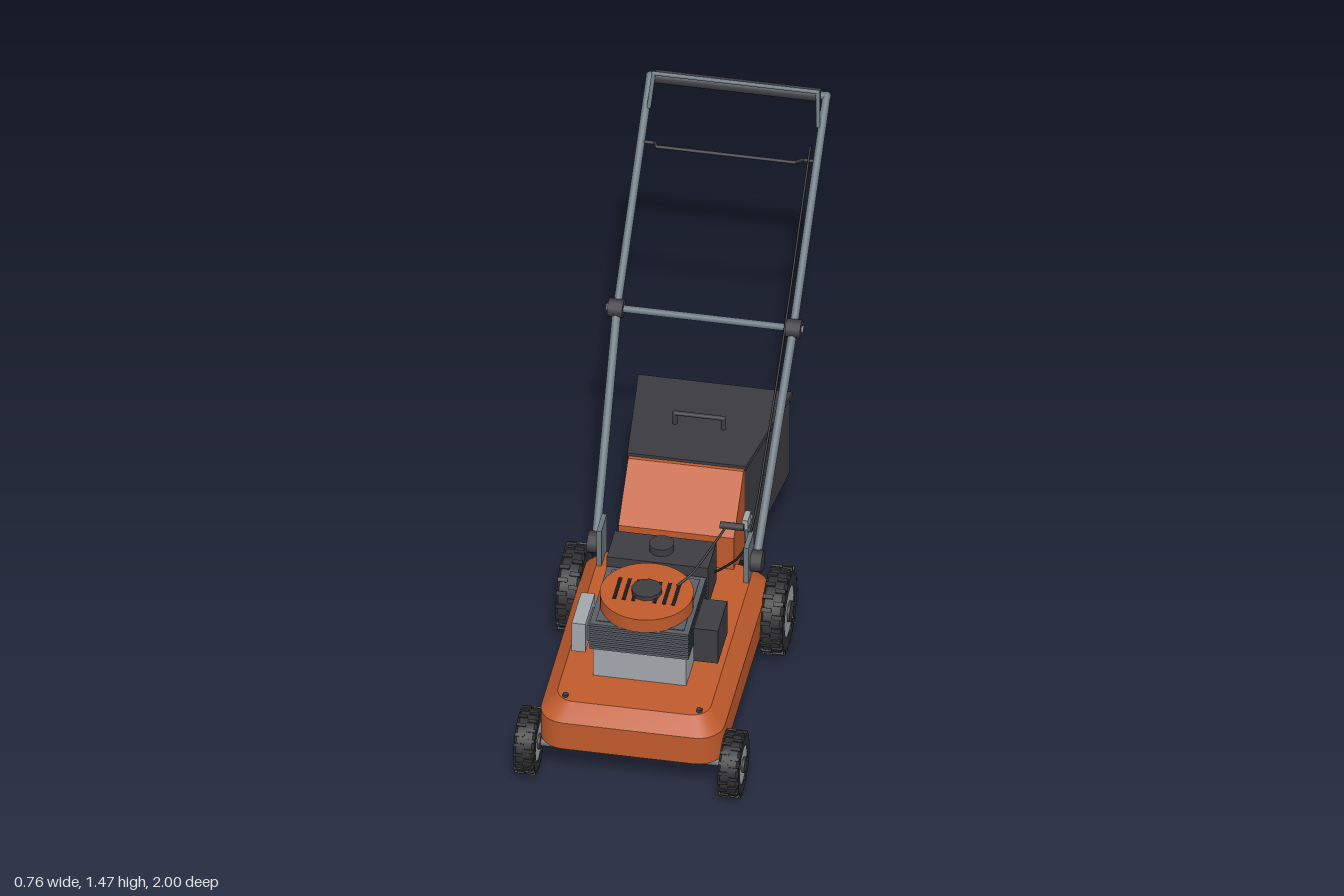
import * as THREE from 'three';
import { toCreasedNormals } from 'three/addons/utils/BufferGeometryUtils.js';

const V = (x, y, z) => new THREE.Vector3(x, y, z);
const mat = (name, color) => {
  const m = new THREE.MeshStandardMaterial({ color });
  m.name = name;
  return m;
};

export function createModel() {
  const orange = mat('orange paint', 0xbf5a2c);
  const dark = mat('dark plastic', 0x3d3c41);
  const rubber = mat('tyre rubber', 0x2f2f31);
  const steel = mat('tube steel', 0x6b7780);
  const silver = mat('cast silver', 0xa2a7ab);
  const finGrey = mat('fin grey', 0x5a6067);
  const black = mat('black', 0x1c1c1e);

  const model = new THREE.Group();
  model.name = 'lawnMower';

  const add = (name, geo, m, x = 0, y = 0, z = 0, parent = model) => {
    const mesh = new THREE.Mesh(geo, m);
    mesh.name = name;
    mesh.position.set(x, y, z);
    parent.add(mesh);
    return mesh;
  };
  // box given by its extents
  const box = (name, m, x0, x1, y0, y1, z0, z1) =>
    add(name, new THREE.BoxGeometry(x1 - x0, y1 - y0, z1 - z0), m, (x0 + x1) / 2, (y0 + y1) / 2, (z0 + z1) / 2);
  // cylinder between two points
  const rod = (name, m, a, b, r, seg = 16) => {
    const d = b.clone().sub(a);
    const mesh = add(name, new THREE.CylinderGeometry(r, r, d.length(), seg), m);
    mesh.position.copy(a).add(b).multiplyScalar(0.5);
    mesh.quaternion.setFromUnitVectors(V(0, 1, 0), d.normalize());
    return mesh;
  };
  const cable = (name, m, pts, r) =>
    add(name, new THREE.TubeGeometry(new THREE.CatmullRomCurve3(pts), 32, r, 8), m);
  // straight bar bent through points, with ball joints
  const bentBar = (name, m, pts, r) => {
    pts.forEach((p, i) => {
      if (i) rod(name, m, pts[i - 1], p, r, 10);
      add(name + 'Bend', new THREE.SphereGeometry(r, 10, 8), m, p.x, p.y, p.z);
    });
  };

  // ---- Deck: hollow shell lofted through rounded rectangles [inset, y] ----
  const ring = (inset, y) => {
    const pts = [], cz = 0.4875, hw = 0.302 - inset, hl = 0.4575 - inset;
    const r = Math.max(0.085 - inset * 0.5, 0.03), n = 6;
    [[1, 1], [-1, 1], [-1, -1], [1, -1]].forEach(([sx, sz], q) => {
      for (let i = 0; i <= n; i++) {
        const a = (q + i / n) * Math.PI / 2;
        pts.push([sx * (hw - r) + r * Math.cos(a), y, cz + sz * (hl - r) + r * Math.sin(a)]);
      }
    });
    return pts;
  };
  const rings = [[0.08, 0.27], [0.035, 0.235], [0.03, 0.135], [0, 0.135], [0, 0.24], [0.05, 0.294]].map(p => ring(...p));
  const N = rings[0].length, pos = [], idx = [];
  rings.forEach(rg => rg.forEach(p => pos.push(...p)));
  for (let k = 0; k < rings.length - 1; k++) {
    for (let i = 0; i < N; i++) {
      const a = k * N + i, b = k * N + (i + 1) % N;
      idx.push(a, a + N, b, b, a + N, b + N);
    }
  }
  const last = (rings.length - 1) * N;
  for (let i = 1; i < N - 1; i++) {
    idx.push(0, i, i + 1);
    idx.push(last, last + i + 1, last + i);
  }
  const deckGeo = new THREE.BufferGeometry();
  deckGeo.setAttribute('position', new THREE.Float32BufferAttribute(pos, 3));
  deckGeo.setIndex(idx);
  add('deck', toCreasedNormals(deckGeo, 0.5), orange);
  for (const s of [-1, 1]) add('deckBolt', new THREE.CylinderGeometry(0.01, 0.01, 0.014, 6), dark, s * 0.22, 0.296, 0.87);

  // ---- Blade and shaft ----
  rod('bladeShaft', silver, V(0, 0.15, 0.49), V(0, 0.28, 0.49), 0.02);
  rod('bladeBolt', silver, V(0, 0.14, 0.49), V(0, 0.155, 0.49), 0.03, 6);
  box('blade', finGrey, -0.25, 0.25, 0.155, 0.163, 0.462, 0.518);

  // ---- Wheels and axles ----
  const wheel = (name, s, y, z, r, w) => {
    const g = new THREE.Group();
    g.name = name;
    g.position.set(s * 0.336, y, z);
    g.rotation.z = -s * Math.PI / 2;
    model.add(g);
    const h = w / 2, hub = r * 0.6;
    const profile = [[hub, -h], [r * 0.88, -h], [r * 0.965, -h * 0.75], [r * 0.965, h * 0.75], [r * 0.88, h], [hub, h]]
      .map(p => new THREE.Vector2(...p));
    add('tyre', toCreasedNormals(new THREE.LatheGeometry(profile, 40), 0.5), rubber, 0, 0, 0, g);
    add('hub', new THREE.CylinderGeometry(hub, hub, w * 0.92, 32), silver, 0, 0, 0, g);
    add('hubCap', new THREE.CylinderGeometry(r * 0.24, r * 0.24, w + 0.012, 20), dark, 0, 0, 0, g);
    // staggered tread lugs
    for (let i = 0; i < 40; i++) {
      const a = i / 40 * Math.PI * 2, R = r * 0.95;
      const lug = add('treadLug', new THREE.BoxGeometry(r * 0.1, h * 0.9, r * 0.1), rubber,
        Math.cos(a) * R, (i % 2 ? 1 : -1) * h * 0.5, Math.sin(a) * R, g);
      lug.rotation.y = -a;
    }
  };
  for (const s of [-1, 1]) {
    wheel('frontWheel', s, 0.113, 0.89, 0.111, 0.068);
    wheel('rearWheel', s, 0.148, 0.107, 0.145, 0.074);
  }
  rod('frontAxle', steel, V(-0.33, 0.113, 0.89), V(0.33, 0.113, 0.89), 0.014);
  rod('rearAxle', steel, V(-0.33, 0.148, 0.107), V(0.33, 0.148, 0.107), 0.014);

  // ---- Engine ----
  box('engineBlock', silver, -0.153, 0.153, 0.285, 0.41, 0.395, 0.745);
  box('cylinderCore', finGrey, -0.145, 0.145, 0.405, 0.515, 0.465, 0.74);
  for (let i = 0; i < 7; i++) {
    const y = 0.41 + i * 0.0155;
    box('coolingFin', finGrey, -0.163, 0.163, y, y + 0.009, 0.448, 0.758);
  }
  rod('starterCover', orange, V(0, 0.512, 0.622), V(0, 0.563, 0.622), 0.152, 48);
  rod('starterCap', dark, V(0, 0.56, 0.622), V(0, 0.578, 0.622), 0.05, 12);
  for (const s of [-1, 1]) for (let i = 0; i < 3; i++) {
    const x = s * (0.035 + i * 0.031);
    box('coverSlot', black, x - 0.006, x + 0.006, 0.56, 0.565, 0.565, 0.678);
  }
  box('fuelTank', dark, -0.167, 0.167, 0.385, 0.54, 0.293, 0.435);
  rod('fuelCap', dark, V(0, 0.535, 0.362), V(0, 0.566, 0.362), 0.04, 24);
  box('airFilter', dark, 0.17, 0.25, 0.368, 0.5, 0.543, 0.705);
  box('airFilterMount', finGrey, 0.14, 0.175, 0.4, 0.47, 0.58, 0.67);
  box('muffler', silver, -0.228, -0.183, 0.365, 0.478, 0.555, 0.722);
  box('mufflerMount', finGrey, -0.19, -0.14, 0.39, 0.45, 0.59, 0.69);
  for (let i = 0; i < 6; i++) {
    const z = 0.575 + i * 0.0235;
    box('mufflerSlot', black, -0.231, -0.226, 0.39, 0.455, z, z + 0.01);
  }
  cable('starterRope', dark, [V(0.09, 0.562, 0.575), V(0.13, 0.585, 0.53), V(0.175, 0.62, 0.43), V(0.21, 0.652, 0.35)], 0.004);
  rod('starterGrip', dark, V(0.19, 0.655, 0.347), V(0.268, 0.655, 0.347), 0.012, 12);

  // ---- Discharge chute ----
  const chute = new THREE.Shape([[0.11, 0.27], [0.11, 0.42], [-0.06, 0.565], [-0.085, 0.565], [-0.085, 0.25], [0.04, 0.25]]
    .map(([z, y]) => new THREE.Vector2(-z, y)));
  const chuteGeo = new THREE.ExtrudeGeometry(chute, { depth: 0.38, bevelEnabled: false });
  chuteGeo.translate(0, 0, -0.19).rotateY(Math.PI / 2);
  add('chute', chuteGeo, orange);

  // ---- Grass bag: boxes tapering from front to back ----
  const taper = (name, m, zf, zb, xf, xb, yf, yb) => {
    const geo = new THREE.BoxGeometry(1, 1, 1), p = geo.attributes.position;
    for (let i = 0; i < p.count; i++) {
      const front = p.getZ(i) > 0, y = front ? yf : yb;
      p.setXYZ(i, Math.sign(p.getX(i)) * (front ? xf : xb), p.getY(i) > 0 ? y[1] : y[0], front ? zf : zb);
    }
    geo.computeVertexNormals();
    return add(name, geo, m);
  };
  taper('grassBag', dark, -0.075, -0.57, 0.19, 0.247, [0.19, 0.56], [0.19, 0.495]);
  taper('bagLid', dark, -0.073, -0.575, 0.195, 0.254, [0.558, 0.576], [0.492, 0.51]);
  bentBar('bagHandle', dark, [V(-0.08, 0.54, -0.293), V(-0.08, 0.59, -0.293), V(0.08, 0.59, -0.293), V(0.08, 0.54, -0.293)], 0.008);

  // ---- Parts on both sides: latches, brackets, handle tubes ----
  for (const s of [-1, 1]) {
    const P = (x, y, z) => V(s * x, y, z);
    add('latch', new THREE.BoxGeometry(0.02, 0.038, 0.054), silver, s * 0.199, 0.366, -0.062);
    add('latchHook', new THREE.BoxGeometry(0.022, 0.026, 0.055), steel, s * 0.2, 0.335, -0.09);
    rod('latchRod', steel, P(0.197, 0.195, -0.072), P(0.197, 0.35, -0.072), 0.005, 8);
    add('handleBracket', new THREE.BoxGeometry(0.016, 0.15, 0.095), steel, s * 0.242, 0.36, 0.125);
    rod('bracketKnob', dark, P(0.25, 0.345, 0.115), P(0.287, 0.345, 0.115), 0.037, 12);
    rod('lowerHandle', steel, P(0.264, 0.345, 0.112), P(0.29, 0.91, -0.396), 0.0145);
    rod('upperHandle', steel, P(0.29, 0.91, -0.396), P(0.29, 1.42, -0.975), 0.0135);
    add('handleCorner', new THREE.SphereGeometry(0.0145, 16, 12), steel, s * 0.29, 1.42, -0.975);
    rod('foldingKnob', dark, P(0.268, 0.91, -0.396), P(0.317, 0.91, -0.396), 0.031, 12);
  }
  rod('crossBar', steel, V(-0.325, 0.91, -0.396), V(0.325, 0.91, -0.396), 0.012);
  rod('topBar', steel, V(-0.29, 1.42, -0.975), V(0.29, 1.42, -0.975), 0.0135);
  rod('gripSleeve', dark, V(-0.272, 1.42, -0.975), V(0.272, 1.42, -0.975), 0.022, 20);

  // ---- Control levers and cable ----
  bentBar('safetyBail', steel, [V(-0.278, 1.36, -0.89), V(-0.27, 1.468, -0.928), V(0.27, 1.468, -0.928), V(0.278, 1.36, -0.89)], 0.007);
  bentBar('driveLever', dark, [V(-0.285, 1.277, -0.81), V(-0.243, 1.277, -0.81), V(-0.227, 1.308, -0.752),
    V(0.227, 1.308, -0.752), V(0.243, 1.277, -0.81), V(0.285, 1.277, -0.81)], 0.006);
  cable('controlCable', black, [V(0.267, 1.33, -0.815), V(0.268, 1.12, -0.58), V(0.266, 0.93, -0.39), V(0.255, 0.65, -0.14),
    V(0.242, 0.44, 0.07), V(0.225, 0.405, 0.17), V(0.19, 0.425, 0.27), V(0.16, 0.44, 0.33)], 0.004);

  return model;
}
